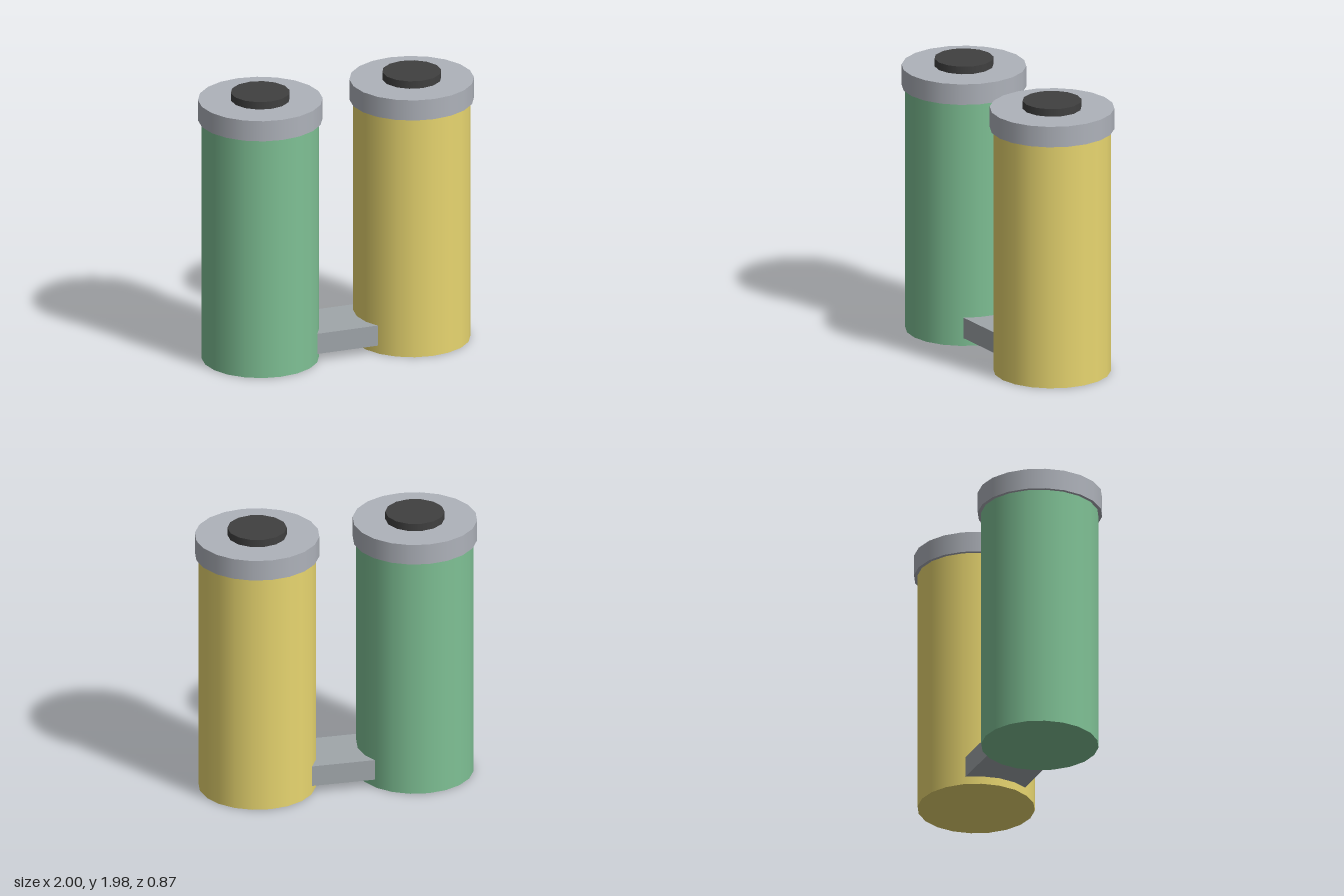
import * as THREE from 'three';

const paint = (color) => new THREE.MeshStandardMaterial({ color });

export function createModel() {
  const model = new THREE.Group();
  model.name = 'twinCanisters';

  const lidPaint = paint(0xaeb2ba);
  const knobPaint = paint(0x404040);

  // Upright cylinder standing between two heights
  function drum(name, radius, bottom, top, sides, material) {
    const mesh = new THREE.Mesh(
      new THREE.CylinderGeometry(radius, radius, top - bottom, sides), material);
    mesh.name = name;
    mesh.position.y = (bottom + top) / 2;
    return mesh;
  }

  // Two canisters, each a body, an overhanging lid and a knob
  function canister(name, x, color) {
    const group = new THREE.Group();
    group.name = name;
    group.position.x = x;
    group.add(
      drum('body', 0.41, 0, 1.78, 20, paint(color)),
      drum('lid', 0.435, 1.775, 1.925, 20, lidPaint),
      drum('knob', 0.207, 1.9, 1.98, 14, knobPaint));
    return group;
  }
  model.add(canister('leftCanister', 0.565, 0xe8d670));
  model.add(canister('rightCanister', -0.565, 0x7fc195));

  // Bar joining the canisters near the base, its ends sunk into the bodies
  const bar = new THREE.Mesh(new THREE.BoxGeometry(0.47, 0.15, 0.45), paint(0xa0a6aa));
  bar.name = 'connectingBar';
  bar.position.y = 0.132;
  model.add(bar);

  return model;
}
